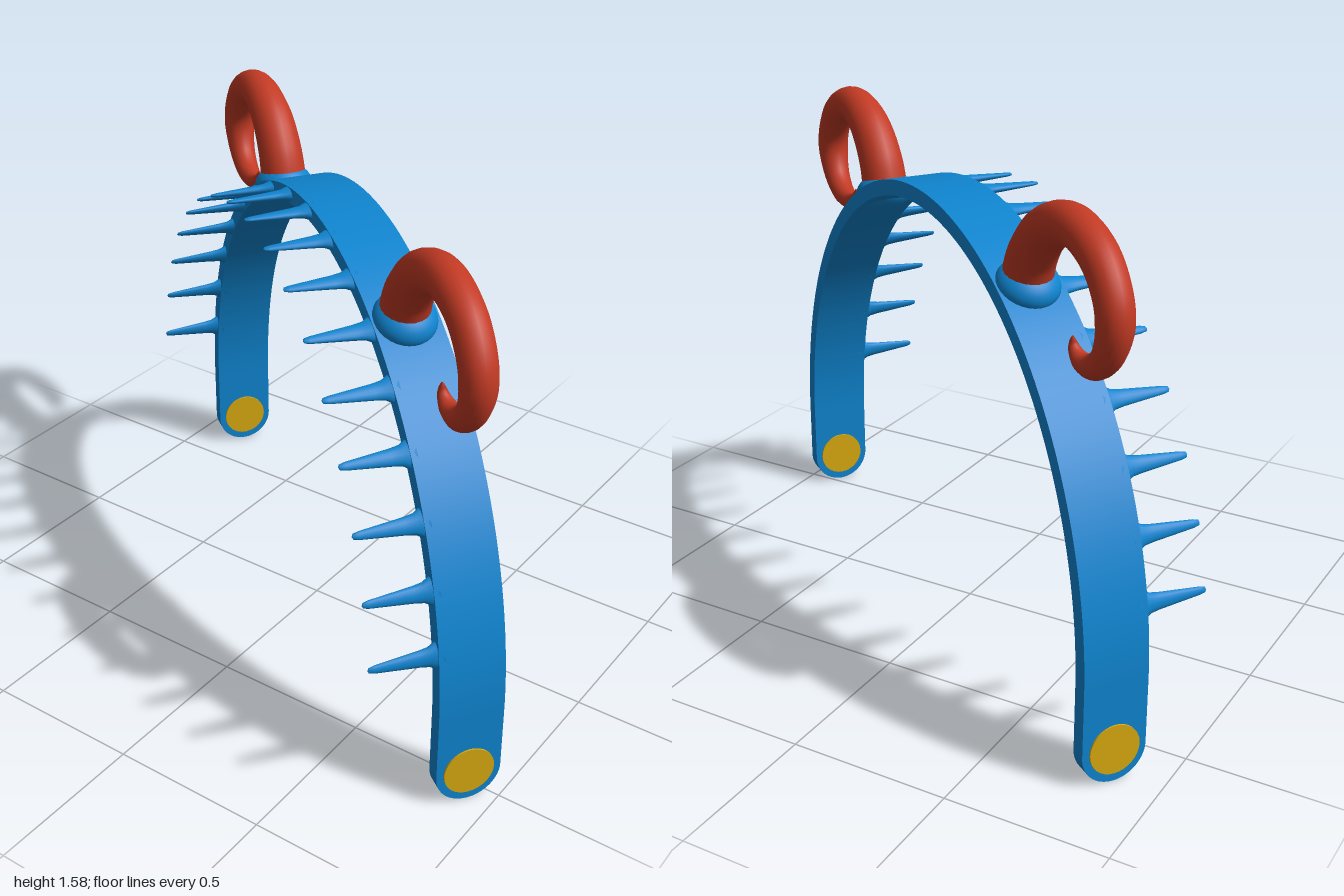
import * as THREE from 'three';
import { toCreasedNormals } from 'three/addons/utils/BufferGeometryUtils.js';

const flat = (name, color) => {
  const m = new THREE.MeshStandardMaterial({ color });
  m.name = name;
  return m;
};

// Band centreline: half ellipse on straight legs
const A = 1.07, B = 1.105, SPRING = 0.3, HALF_T = 0.025, HALF_W = 0.1;

function bandGeometry() {
  const o = A + HALF_T, i = A - HALF_T;
  const s = new THREE.Shape();
  s.moveTo(-o, 0.1);
  s.lineTo(-o, SPRING);
  s.absellipse(0, SPRING, o, B + HALF_T, Math.PI, 0, true);
  s.lineTo(o, 0.1);
  s.lineTo(i, 0.1);
  s.lineTo(i, SPRING);
  s.absellipse(0, SPRING, i, B - HALF_T, 0, Math.PI, false);
  s.lineTo(-i, 0.1);
  s.closePath();
  const g = new THREE.ExtrudeGeometry(s, { depth: 2 * HALF_W, bevelEnabled: false, curveSegments: 64 });
  g.translate(0, 0, -HALF_W);
  return toCreasedNormals(g, 0.5);
}

// Curled horn: a tube whose rings shrink towards the tip
function hornGeometry(side) {
  const pts = [[0.52, 1.28], [0.56, 1.38], [0.65, 1.475], [0.79, 1.52], [0.93, 1.475], [1.005, 1.385],
    [1.018, 1.31], [0.985, 1.225], [0.92, 1.175], [0.85, 1.165], [0.805, 1.19], [0.798, 1.22]];
  const radii = [[0, 0.075], [0.2, 0.068], [0.37, 0.058], [0.68, 0.052], [0.78, 0.043],
    [0.86, 0.037], [0.93, 0.026], [0.98, 0.014], [1, 0.002]];
  const radiusAt = (t) => {
    const k = Math.max(1, radii.findIndex(([u]) => u >= t));
    const [t0, r0] = radii[k - 1], [t1, r1] = radii[k];
    return THREE.MathUtils.mapLinear(t, t0, t1, r0, r1);
  };
  const path = new THREE.CatmullRomCurve3(pts.map(([x, y]) => new THREE.Vector3(side * x, y, 0)));
  const rings = 72, sides = 20;
  const g = new THREE.TubeGeometry(path, rings, 1, sides);
  const pos = g.attributes.position, v = new THREE.Vector3();
  for (let i = 0; i <= rings; i++) {
    const t = i / rings, c = path.getPointAt(t), r = radiusAt(t);
    for (let j = 0; j <= sides; j++) {
      const n = i * (sides + 1) + j;
      v.fromBufferAttribute(pos, n).sub(c).multiplyScalar(r).add(c);
      pos.setXYZ(n, v.x, v.y, v.z);
    }
  }
  return g;
}

export function createModel() {
  const blue = flat('blue plastic', 0x0f85d0);
  const red = flat('red horn', 0xc23a24);
  const yellow = flat('yellow pad', 0xd9ab10);

  const model = new THREE.Group();
  model.name = 'hornedHeadband';
  const add = (name, geometry, material, x = 0, y = 0, z = 0) => {
    const m = new THREE.Mesh(geometry, material);
    m.name = name;
    m.position.set(x, y, z);
    model.add(m);
    return m;
  };

  add('band', bandGeometry(), blue);

  const endGeo = new THREE.CylinderGeometry(HALF_W, HALF_W, 2 * HALF_T, 32, 1, false, Math.PI, Math.PI).rotateZ(Math.PI / 2);
  const padGeo = new THREE.CylinderGeometry(0.078, 0.078, 0.006, 32).rotateZ(Math.PI / 2);
  const socketGeo = new THREE.SphereGeometry(0.095, 32, 20).scale(1, 0.68, 1);

  for (const side of [-1, 1]) {
    // Rounded leg end with a pad on each face
    add('bandEnd', endGeo, blue, side * A, 0.1);
    for (const face of [-1, 1]) add('pad', padGeo, yellow, side * A + face * (HALF_T + 0.002), 0.105);

    // Horn in its socket
    add('hornSocket', socketGeo, blue, side * 0.53, 1.28).rotation.z = -side * 0.4;
    add('horn', hornGeometry(side), red);
  }

  // Comb teeth along the back edge, evenly spaced along the arc
  const profile = [[0.048, -0.02], [0.042, 0], [0.03, 0.02], [0.025, 0.05], [0.019, 0.11], [0.012, 0.18], [0.008, 0.196], [0, 0.2]];
  const toothGeo = new THREE.LatheGeometry(profile.map(([r, h]) => new THREE.Vector2(r, h)), 16)
    .rotateX(-Math.PI / 2).scale(1, 0.55, 1);
  for (let i = -8; i <= 8; i++) {
    const a = i * 0.1722;
    const tooth = add('tooth', toothGeo, blue, A * Math.sin(a), SPRING + B * Math.cos(a), -HALF_W);
    tooth.rotation.z = -a;
  }

  // The headband stands turned about the vertical axis
  model.rotation.y = 0.96;
  model.position.set(0.0675, 0, 0.0325);
  const root = new THREE.Group();
  root.name = 'headband';
  root.add(model);
  return root;
}
